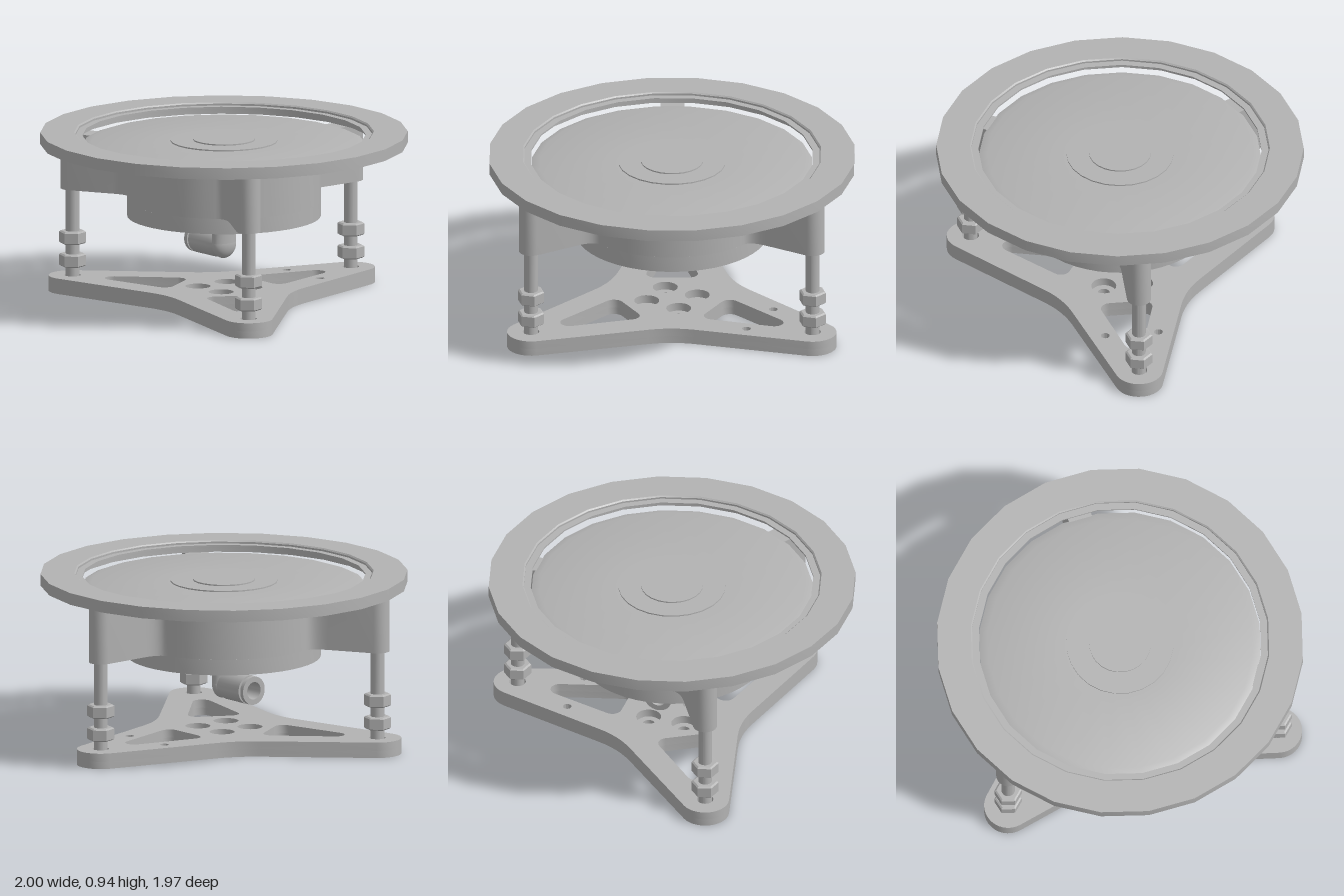
import * as THREE from 'three';
import { toCreasedNormals } from 'three/addons/utils/BufferGeometryUtils.js';

const grey = new THREE.MeshStandardMaterial({ color: 0xb2b2b2 });
grey.name = 'machined grey';

const THIRD = (Math.PI * 2) / 3;
const LEG = 0.88; // distance of the three legs from the axis
const V = (x, y) => new THREE.Vector2(x, y);
const turn = (p, a) => p.clone().rotateAround(V(0, 0), a);

function add(parent, name, geometry, x = 0, y = 0, z = 0) {
  const mesh = new THREE.Mesh(toCreasedNormals(geometry, 0.5), grey);
  mesh.name = name;
  mesh.position.set(x, y, z);
  parent.add(mesh);
  return mesh;
}

// Profile of [radius, height] pairs turned about the vertical axis
function lathe(profile, segments = 32) {
  return new THREE.LatheGeometry(profile.map(([r, y]) => V(r, y)), segments, Math.PI / segments);
}

// Plan shape raised from y0 to y1
function slab(shape, y0, y1) {
  return new THREE.ExtrudeGeometry(shape, { depth: y1 - y0, bevelEnabled: false, curveSegments: 8 })
    .rotateX(-Math.PI / 2).translate(0, y0, 0);
}

function arc(cx, cy, r, from, to, steps = 8) {
  return Array.from({ length: steps + 1 }, (_, i) => {
    const a = from + ((to - from) * i) / steps;
    return V(cx + r * Math.cos(a), cy + r * Math.sin(a));
  });
}

// Repeats one third of an outline three times around the axis
function threefold(points) {
  return [0, 1, 2].flatMap(k => points.map(p => turn(p, k * THIRD)));
}

function roundHole(x, y, r, n = 20) {
  return new THREE.Path(arc(x, y, r, 0, Math.PI * 2, n).slice(0, -1));
}

// Three-pointed base plate layer
function baseShape(footHole, centreHole) {
  const a = 1.27, r = 0.13;
  const foot = arc(LEG, 0, r, -a, a, 14);
  const valley = turn(V(0.385, 0), THIRD / 2);
  const tip = foot[foot.length - 1];
  const nextTip = turn(foot[0], THIRD);
  const fillet = new THREE.QuadraticBezierCurve(
    valley.clone().lerp(tip, 0.17), valley, valley.clone().lerp(nextTip, 0.17)).getPoints(6);
  const shape = new THREE.Shape(threefold([...foot, ...fillet]));

  // Rounded triangular cut-outs and leg holes
  const b = 1.304;
  const slot = [
    ...arc(0.64, 0, 0.05, -b, b),
    ...arc(0.31, 0.09, 0.05, b, Math.PI, 6),
    ...arc(0.31, -0.09, 0.05, Math.PI, Math.PI * 2 - b, 6),
  ];
  for (let k = 0; k < 3; k++) {
    shape.holes.push(new THREE.Path(slot.map(p => turn(p, k * THIRD))));
    const c = turn(V(LEG, 0), k * THIRD);
    shape.holes.push(roundHole(c.x, c.y, footHole));
  }
  // Four mounting holes, and two small holes on one arm
  for (const sx of [-1, 1]) for (const sy of [-1, 1]) {
    shape.holes.push(roundHole(sx * 0.1, sy * 0.1, centreHole));
  }
  for (const s of [-1, 1]) shape.holes.push(roundHole(0.55, s * 0.145, 0.024, 12));
  return shape;
}

// Round body with three filleted arms
function armsShape() {
  const R = 0.525, w = 0.065, a = 0.24;
  const edge = s => V(R * Math.cos(a), s * R * Math.sin(a));
  const fillet = new THREE.QuadraticBezierCurve(V(0.62, w), V(0.52, w), edge(1)).getPoints(6);
  const mirrored = fillet.map(p => V(p.x, -p.y)).reverse();
  const end = arc(LEG, 0, w, -Math.PI / 2, Math.PI / 2, 12);
  const wall = arc(0, 0, R, a, THIRD - a, 14).slice(1, -1);
  return new THREE.Shape(threefold([...mirrored, ...end, ...fillet, ...wall]));
}

export function createModel() {
  const model = new THREE.Group();
  model.name = 'ringTopStand';
  const unit = new THREE.Group();
  unit.name = 'assembly';
  unit.position.x = -0.01;
  model.add(unit);

  // Base plate: counterbored below at the feet, above at the centre
  add(unit, 'basePlateLower', slab(baseShape(0.088, 0.033), 0, 0.04));
  add(unit, 'basePlateUpper', slab(baseShape(0.045, 0.068), 0.04, 0.085));

  // Legs with two nuts each and a bolt head under the foot
  for (let k = 0; k < 3; k++) {
    const leg = new THREE.Group();
    leg.name = 'leg';
    leg.position.set(LEG * Math.cos(k * THIRD), 0, LEG * Math.sin(k * THIRD));
    unit.add(leg);
    add(leg, 'rod', new THREE.CylinderGeometry(0.037, 0.037, 0.53, 24), 0, 0.305, 0);
    add(leg, 'boltHead', lathe([[0, 0.03], [0.028, 0.03], [0.028, 0.012], [0.07, 0.012], [0.07, 0.042], [0, 0.042]], 24));
    for (const y of [0.17, 0.296]) {
      const nut = add(leg, 'nut', lathe([
        [0, -0.035], [0.064, -0.035], [0.074, -0.028], [0.074, 0.028], [0.064, 0.035], [0, 0.035],
      ], 6), 0, y, 0);
      nut.rotation.y = 0.26;
    }
  }

  // Body
  add(unit, 'bodyWithArms', slab(armsShape(), 0.565, 0.876));
  add(unit, 'bodyBottom', lathe([[0, 0.48], [0.525, 0.48], [0.525, 0.566], [0, 0.566]], 48));

  // Inner disc with sloped rim and shallow centre steps
  add(unit, 'innerDisc', lathe([
    [0, 0.874], [0.765, 0.874], [0.72, 0.89], [0.29, 0.89], [0.29, 0.897],
    [0.168, 0.897], [0.168, 0.904], [0, 0.904],
  ], 24));

  // Outer ring with a thin inner lip
  add(unit, 'outerRing', lathe([
    [0.81, 0.876], [0.995, 0.876], [0.995, 0.94], [0.812, 0.94], [0.805, 0.933],
    [0.805, 0.923], [0.767, 0.923], [0.767, 0.914], [0.81, 0.914], [0.81, 0.876],
  ], 24));

  // Elbow fitting below the body
  const fitting = new THREE.Group();
  fitting.name = 'elbowFitting';
  unit.add(fitting);
  add(fitting, 'hexCollar', lathe([
    [0, 0.422], [0.08, 0.422], [0.092, 0.43], [0.092, 0.465], [0.07, 0.47], [0.07, 0.481], [0, 0.481],
  ], 6)).rotation.y = Math.PI / 6;
  add(fitting, 'elbowNeck', new THREE.CylinderGeometry(0.075, 0.075, 0.11, 24).scale(1, 1, 0.6), 0, 0.373, 0);
  add(fitting, 'elbowBend', new THREE.SphereGeometry(0.076, 24, 16).scale(1, 1, 0.6), 0, 0.32, 0);
  const barrel = lathe([
    [0, 0], [0.06, 0], [0.078, 0.05], [0.079, 0.212], [0.06, 0.212], [0.06, 0.225], [0.078, 0.225],
    [0.078, 0.248], [0.048, 0.248], [0.042, 0.1], [0, 0.1],
  ], 28).rotateX(-Math.PI / 2);
  add(fitting, 'hoseSocket', barrel, 0, 0.322, 0);

  return model;
}
